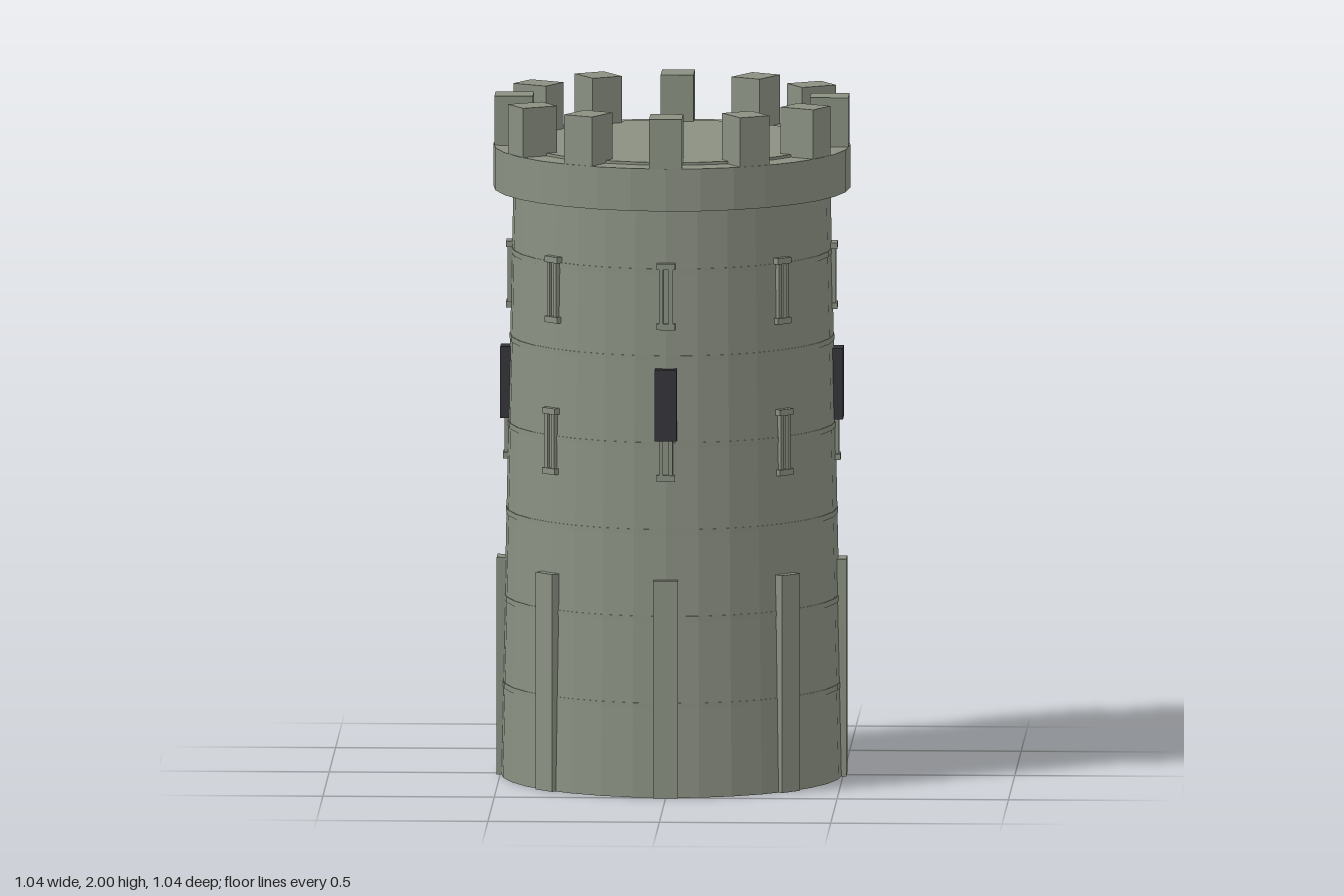
import * as THREE from 'three';

const stone = new THREE.MeshStandardMaterial({ color: 0x8a9082, flatShading: true });
stone.name = 'grey green stone';
const dark = new THREE.MeshStandardMaterial({ color: 0x35343a, flatShading: true });
dark.name = 'dark shutter';

const SIDES = 32;
const WALL_TOP = 1.78;
// Radius of the tapering wall at height y
const wallRadius = (y) => 0.499 - 0.021 * y;

function add(parent, name, geometry, material, x = 0, y = 0, z = 0) {
  const mesh = new THREE.Mesh(geometry, material);
  mesh.name = name;
  mesh.position.set(x, y, z);
  parent.add(mesh);
  return mesh;
}

// Round course of stone between two heights
function drum(parent, name, y0, y1, r0, r1 = r0) {
  return add(parent, name, new THREE.CylinderGeometry(r1, r0, y1 - y0, SIDES), stone, 0, (y0 + y1) / 2, 0);
}

// Box in a radial frame: z runs outward from the tower's axis
function radialBox(parent, name, material, x, width, y0, y1, r0, r1) {
  return add(parent, name, new THREE.BoxGeometry(width, y1 - y0, r1 - r0), material, x, (y0 + y1) / 2, (r0 + r1) / 2);
}

// Repeat a part evenly around the axis
function ring(parent, name, count, build) {
  for (let i = 0; i < count; i++) {
    const spoke = new THREE.Group();
    spoke.name = name;
    spoke.rotation.y = (i / count) * Math.PI * 2;
    build(spoke);
    parent.add(spoke);
  }
}

// Arrow slit: two jambs between a sill and a lintel, with a recessed back
function arrowSlit(parent, y0, y1) {
  const r = wallRadius((y0 + y1) / 2);
  const inner = r - 0.025;
  radialBox(parent, 'slitBack', stone, 0, 0.02, y0, y1, inner, r + 0.003);
  for (const side of [-1, 1]) {
    radialBox(parent, 'slitJamb', stone, side * 0.014, 0.012, y0, y1, inner, r + 0.011);
  }
  radialBox(parent, 'slitSill', stone, 0, 0.054, y0, y0 + 0.018, inner, r + 0.015);
  radialBox(parent, 'slitLintel', stone, 0, 0.054, y1 - 0.018, y1, inner, r + 0.015);
}

export function createModel() {
  const tower = new THREE.Group();
  tower.name = 'tower';

  // Tapering wall with thin courses
  drum(tower, 'wall', 0, WALL_TOP, wallRadius(0), wallRadius(WALL_TOP));
  for (let i = 0; i < 6; i++) {
    const y = 0.27 + i * 0.255;
    drum(tower, 'course', y - 0.008, y + 0.008, wallRadius(y) + 0.002);
  }

  // Overhanging parapet and roof floor
  drum(tower, 'parapet', 1.73, 1.855, 0.521);
  drum(tower, 'roofFloor', 1.84, 1.863, 0.443);

  // Battlements
  ring(tower, 'battlement', 12, (g) => radialBox(g, 'merlon', stone, 0, 0.096, 1.85, 2, 0.404, 0.516));

  // Buttresses and two rows of arrow slits
  ring(tower, 'wallBay', 8, (g) => {
    radialBox(g, 'buttress', stone, 0, 0.072, 0, 0.64, 0.45, 0.51);
    arrowSlit(g, 0.93, 1.125);
    arrowSlit(g, 1.375, 1.57);
  });

  // Dark shutters on the four main sides
  ring(tower, 'shutterBay', 4, (g) => radialBox(g, 'shutter', dark, 0, 0.064, 1.05, 1.26, 0.465, 0.5));

  return tower;
}
